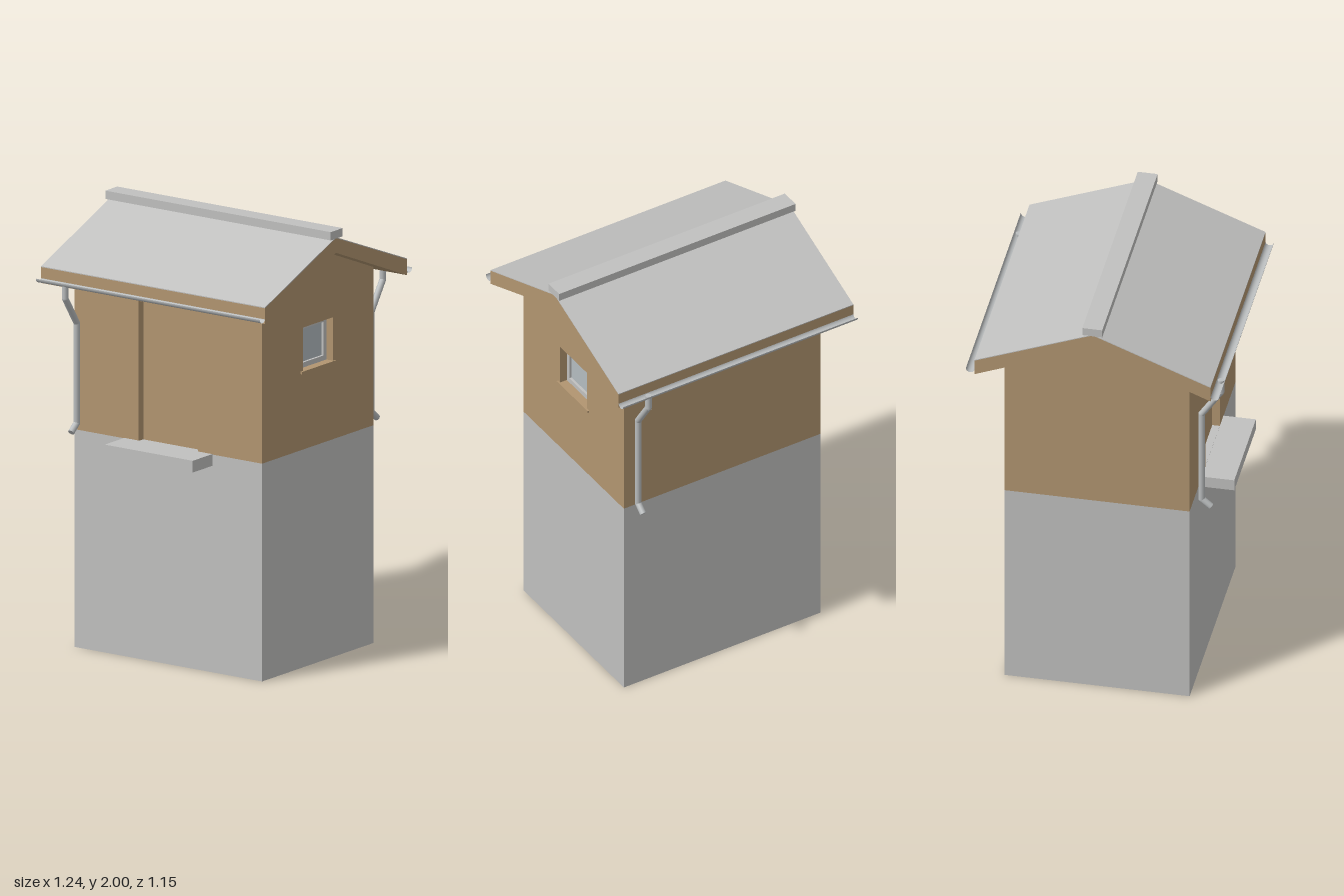
import * as THREE from 'three';

const mat = (name, color, side = THREE.FrontSide) => {
  const m = new THREE.MeshStandardMaterial({ color, side });
  m.name = name;
  return m;
};

export function createModel() {
  const model = new THREE.Group();
  model.name = 'towerHut';
  const concrete = mat('concrete grey', 0xc0c0bf);
  const shell = concrete.clone();
  shell.name = 'open concrete grey';
  shell.side = THREE.DoubleSide;
  const wood = mat('wood brown', 0xb19570);
  const metal = mat('metal grey', 0xbabdbe, THREE.DoubleSide);
  const glass = mat('window glass', 0xb4bcc0);

  const add = (name, geometry, material, x = 0, y = 0, z = 0, parent = model) => {
    const mesh = new THREE.Mesh(geometry, material);
    mesh.name = name;
    mesh.position.set(x, y, z);
    parent.add(mesh);
    return mesh;
  };
  // Box given by its two opposite corners
  const box = (name, material, [x0, y0, z0], [x1, y1, z1]) =>
    add(name, new THREE.BoxGeometry(x1 - x0, y1 - y0, z1 - z0), material,
      (x0 + x1) / 2, (y0 + y1) / 2, (z0 + z1) / 2);
  const shapeOf = (pts) => new THREE.Shape(pts.map(([a, b]) => new THREE.Vector2(a, b)));
  const rect = (a, y0, y1) => [[-a, y0], [a, y0], [a, y1], [-a, y1]];
  const extrude = (shape, depth) => new THREE.ExtrudeGeometry(shape, { depth, bevelEnabled: false });
  // Outline in (z, y), pushed from x to x + depth
  const alongX = (name, shape, depth, material, x) => {
    const g = extrude(shape, depth);
    g.rotateY(-Math.PI / 2); // outline x becomes z, depth becomes -x
    return add(name, g, material, x + depth, 0, 0);
  };

  const W = 0.516, D = 0.42, T = 0.035;

  // Base: four walls, open at top and bottom
  const baseGeo = new THREE.BoxGeometry(2 * W, 1, 2 * D);
  const idx = Array.from(baseGeo.index.array);
  baseGeo.setIndex([...idx.slice(0, 12), ...idx.slice(24)]);
  baseGeo.clearGroups();
  add('base', baseGeo, shell, 0, 0.5, 0);

  // Front wall with a doorway, recessed door and threshold
  const inner = W - T;
  add('frontWall', extrude(shapeOf([[-inner, 1], [-0.163, 1], [-0.163, 1.655], [0.163, 1.655],
    [0.163, 1], [inner, 1], [inner, 1.725], [-inner, 1.725]]), T), wood, 0, 0, D - T);
  box('door', wood, [-0.18, 1, D - T - 0.03], [0.18, 1.67, D - T]);
  box('threshold', concrete, [-0.163, 0.99, D - T], [0.163, 1, D - 0.001]);
  box('doorStep', concrete, [-0.242, 0.948, D], [0.242, 1.002, 0.567]);
  box('backWall', wood, [-inner, 1, -D], [inner, 1.725, -D + T]);

  // Gable walls, the left one with a window opening
  const gable = () => shapeOf([[-D, 1], [D, 1], [D, 1.727], [0, 1.895], [-D, 1.727]]);
  alongX('rightGable', gable(), T, wood, -W);
  const windowWall = gable();
  windowWall.holes.push(shapeOf(rect(0.113, 1.36, 1.56)));
  alongX('leftGable', windowWall, T, wood, W - T);

  // Window set back in its opening
  const frame = shapeOf(rect(0.125, 1.35, 1.57));
  frame.holes.push(shapeOf(rect(0.092, 1.384, 1.538)));
  alongX('windowFrame', frame, 0.02, concrete, W - T - 0.02);
  box('windowPane', glass, [W - T - 0.02, 1.38, -0.1], [W - T - 0.012, 1.545, 0.1]);
  box('windowSill', wood, [W - T, 1.35, -0.13], [W + 0.008, 1.361, 0.13]);

  // Roof slab, its grey covering and the ridge cap
  const R = 0.616, E = 0.535;
  alongX('roofSlab', shapeOf([[-E, 1.68], [0, 1.895], [E, 1.68], [E, 1.753], [0, 1.963], [-E, 1.753]]),
    2 * R, wood, -R);
  alongX('roofCovering', shapeOf([[-E, 1.753], [0, 1.963], [E, 1.753], [E, 1.757], [0, 1.967], [-E, 1.757]]),
    2 * R, concrete, -R);
  box('ridgeCap', concrete, [-0.62, 1.962, -0.045], [0.62, 2, 0.045]);

  // Half-round gutter and bent downpipe; the back copy is turned half way round
  const path = [[1.7, 0.553], [1.635, 0.553], [1.505, 0.466], [1.045, 0.466], [1.01, 0.508]]
    .map(([y, z]) => new THREE.Vector3(-0.47, y, z));
  const up = new THREE.Vector3(0, 1, 0);
  for (const side of ['front', 'back']) {
    const drain = new THREE.Group();
    drain.name = side + 'Drainage';
    drain.rotation.y = side === 'front' ? 0 : Math.PI;
    model.add(drain);
    const gutter = new THREE.CylinderGeometry(0.02, 0.02, 2 * R, 12, 1, true, Math.PI / 2, Math.PI);
    gutter.rotateY(Math.PI / 2);
    gutter.rotateZ(Math.PI / 2);
    // keep the trough hanging below its rim
    gutter.computeBoundingBox();
    if (gutter.boundingBox.max.y > 0.01) gutter.rotateX(Math.PI);
    add('gutter', gutter, metal, 0, 1.708, 0.554, drain);
    for (let i = 0; i < path.length - 1; i++) {
      const a = path[i], b = path[i + 1];
      const dir = b.clone().sub(a);
      const pipe = add('downpipe', new THREE.CylinderGeometry(0.015, 0.015, dir.length(), 12), metal,
        0, 0, 0, drain);
      pipe.position.copy(a).add(b).multiplyScalar(0.5);
      pipe.quaternion.setFromUnitVectors(up, dir.normalize());
      if (i > 0) add('pipeBend', new THREE.SphereGeometry(0.015, 12, 8), metal, a.x, a.y, a.z, drain);
    }
  }
  return model;
}
